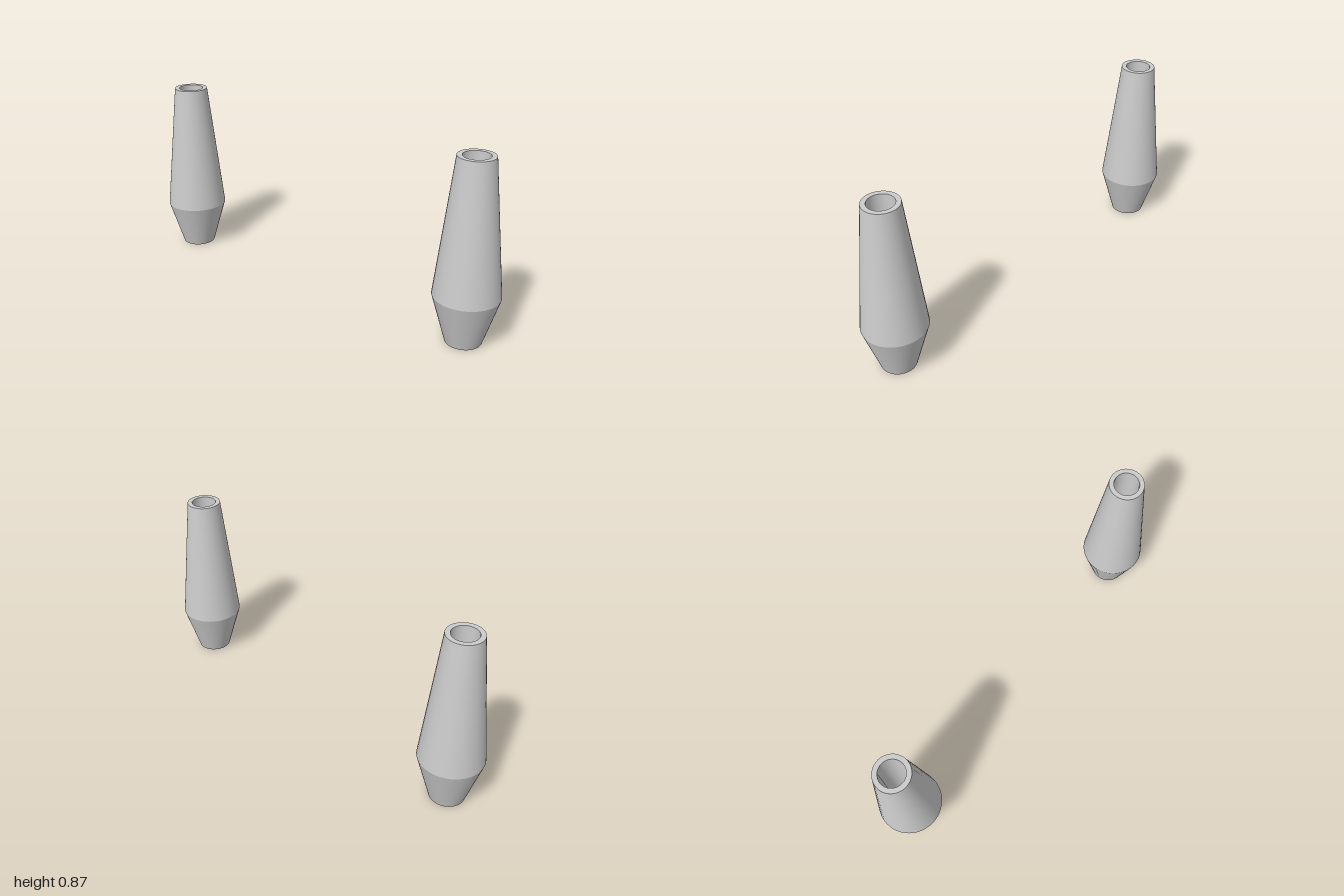
import * as THREE from 'three';
import { mergeGeometries } from 'three/addons/utils/BufferGeometryUtils.js';

const SEGMENTS = 48;

// Lathe each profile segment separately so the rings between them stay crisp
function creasedLathe(profile) {
  const bands = [];
  for (let i = 0; i < profile.length - 1; i++) {
    const pair = [profile[i], profile[i + 1]].map(([r, y]) => new THREE.Vector2(r, y));
    bands.push(new THREE.LatheGeometry(pair, SEGMENTS));
  }
  return mergeGeometries(bands);
}

export function createModel() {
  const group = new THREE.Group();
  group.name = 'vasePair';
  const material = new THREE.MeshStandardMaterial({ color: 0xcccccc });

  // Closed base, flared foot, tapering body, flat rim, then the bore and its floor
  const geometry = creasedLathe([
    [0, 0],
    [0.083, 0],
    [0.152, 0.23],
    [0.083, 0.868],
    [0.06, 0.868],
    [0.06, 0.3],
    [0, 0.3],
  ]);

  // One vase on each side
  for (const [name, side] of [['leftVase', 1], ['rightVase', -1]]) {
    const vase = new THREE.Mesh(geometry, material);
    vase.name = name;
    vase.position.x = side * 0.848;
    group.add(vase);
  }
  return group;
}
